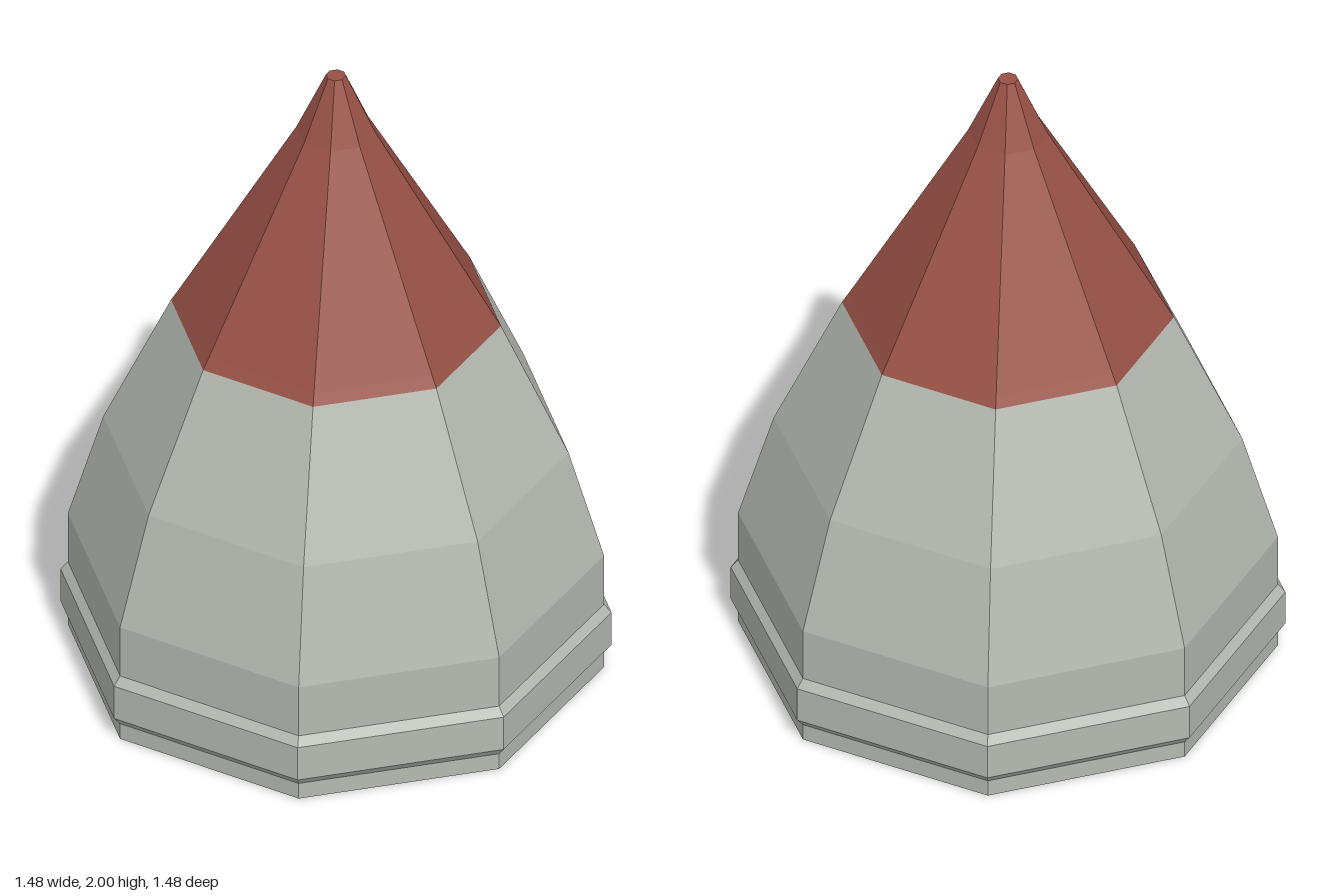
import * as THREE from 'three';

const SIDES = 8;
// Profiles give the distance to the flat of each side; lathe needs the corner radius.
const CORNER = 1 / Math.cos(Math.PI / SIDES);

const grey = new THREE.MeshStandardMaterial({ color: 0xb4b9b1 });
grey.name = 'pale grey';
const red = new THREE.MeshStandardMaterial({ color: 0x985146 });
red.name = 'brick red';
const dark = new THREE.MeshStandardMaterial({ color: 0x2a3339 });
dark.name = 'dark slate';

// Faceted eight-sided shell from [half width, height] pairs, bottom to top
function shell(name, profile, material) {
  const points = profile.map(([w, y]) => new THREE.Vector2(w * CORNER, y));
  const geometry = new THREE.LatheGeometry(points, SIDES, Math.PI / SIDES).toNonIndexed();
  geometry.computeVertexNormals();
  const mesh = new THREE.Mesh(geometry, material);
  mesh.name = name;
  return mesh;
}

export function createModel() {
  const group = new THREE.Group();
  group.name = 'noseCone';

  // Dark underside
  const base = new THREE.Mesh(new THREE.CircleGeometry(0.72 * CORNER, SIDES, Math.PI / SIDES), dark);
  base.name = 'underside';
  base.rotation.x = Math.PI / 2;
  group.add(base);

  // Bottom lip, bevelled collar, and tapering body
  group.add(shell('bottomLip', [[0.72, 0], [0.72, 0.053]], grey));
  group.add(shell('collar', [[0.72, 0.053], [0.74, 0.08], [0.74, 0.193], [0.72, 0.22]], grey));
  group.add(shell('body', [[0.72, 0.22], [0.72, 0.39], [0.625, 0.74], [0.443, 1.167]], grey));

  // Painted tip with a small flat end
  group.add(shell('tip', [[0.443, 1.167], [0.425, 1.2], [0.106, 1.81], [0.027, 2], [0, 2]], red));

  return group;
}
